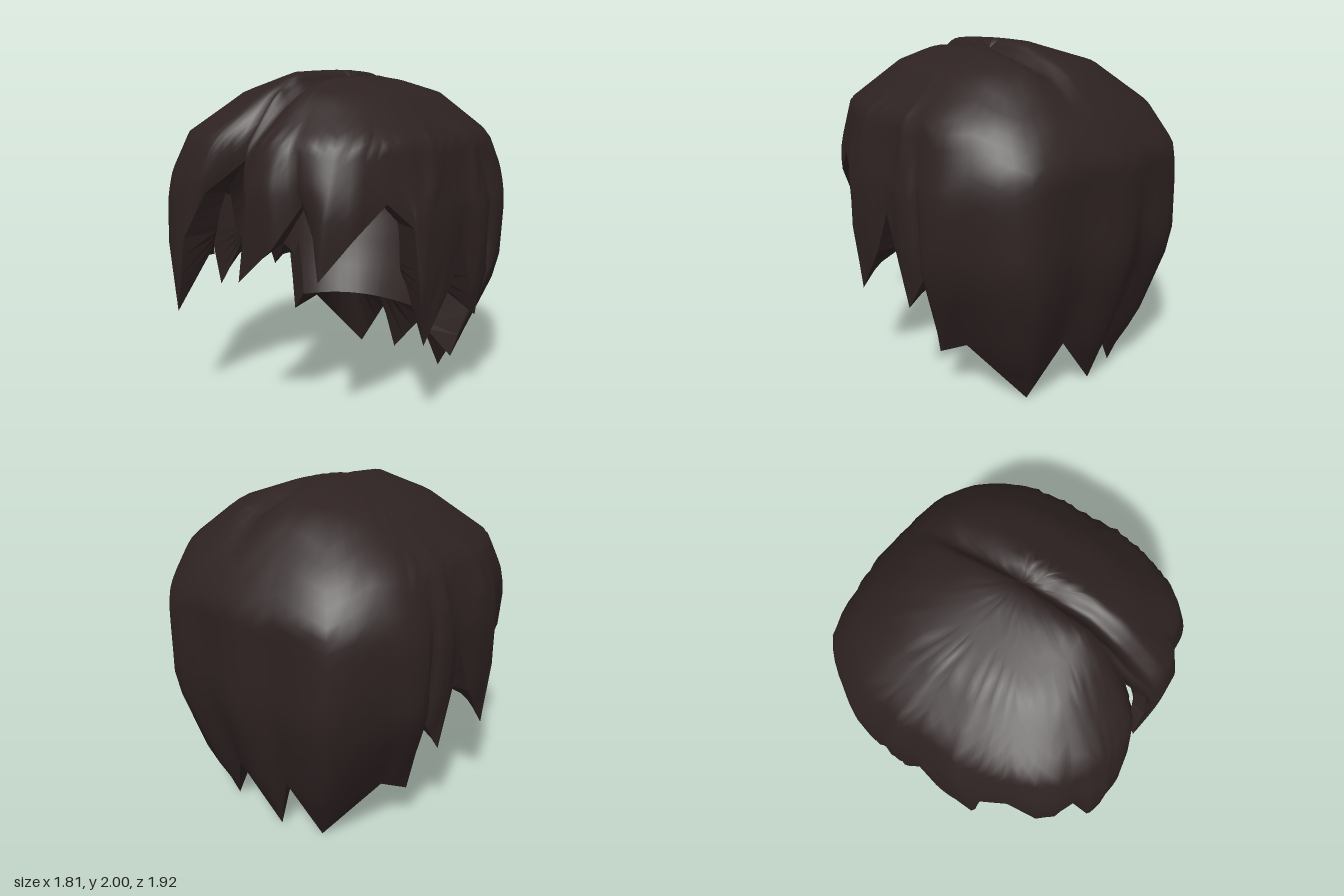
import * as THREE from 'three';

// Rings from crown down: [y, half width, front depth, back depth]
const OUTER = [
  [2.0, 1e-4, 1e-4, 1e-4], [1.975, 0.17, 0.41, 0.25], [1.87, 0.5, 0.6, 0.57],
  [1.64, 0.8, 0.87, 0.81], [1.43, 0.86, 0.94, 0.95], [1.25, 0.905, 0.96, 0.955],
  [0.85, 0.9, 0.97, 0.97], [0.33, 0.7, 0.9, 0.83], [0, 0.5, 0.85, 0.68],
];
const INNER = [
  [1.84, 1e-4, 1e-4, 1e-4], [1.82, 0.2, 0.3, 0.25], [1.72, 0.48, 0.55, 0.52],
  [1.5, 0.69, 0.74, 0.73], [1.2, 0.74, 0.8, 0.8], [1.0, 0.73, 0.8, 0.77],
  [0.7, 0.66, 0.75, 0.67], [0.42, 0.57, 0.65, 0.54],
];
const NAPE = 0.42; // lowest height of the inner skin

// Hem corners [x, y, z]: fringe left of the parting, side and nape locks, fringe right
const FRINGE_LEFT = [
  [0.07, 1.6, 0.68], [0.16, 1.32, 0.84], [0.15, 1.08, 0.88], [0.07, 0.87, 0.89],
  [0.35, 1.1, 0.9], [0.47, 1.33, 0.79], [0.56, 1.18, 0.81], [0.61, 0.96, 0.83],
  [0.74, 1.18, 0.7],
];
const SIDE = [
  [0.8, 1.34, 0.52], [0.86, 1.2, 0.37], [0.88, 0.9, 0.34], [0.87, 0.54, 0.28],
  [0.89, 0.85, 0.05], [0.88, 1.1, -0.05], [0.87, 0.59, -0.23], [0.83, 0.82, -0.35],
  [0.69, 0.27, -0.26], [0.62, 0.35, -0.42], [0.35, 0, -0.63], [0.19, 0.35, -0.76],
];
const FRINGE_RIGHT = [
  [-0.74, 1.04, 0.68], [-0.64, 0.82, 0.75], [-0.54, 1.03, 0.81], [-0.54, 1.0, 0.91],
  [-0.45, 0.6, 0.93], [-0.33, 1.07, 0.95], [-0.2, 1.33, 0.89],
];
const HEM = [
  ...FRINGE_LEFT, ...SIDE, [-0.09, 0, -0.7],
  ...SIDE.map(([x, y, z]) => [-x, y, z]).reverse(), ...FRINGE_RIGHT,
];
const SPLIT = 4, ROWS = 22;
const { lerp, smoothstep } = THREE.MathUtils;

function ring(rings, s) {
  const i = Math.min(Math.floor(s), rings.length - 2);
  return rings[i].map((v, k) => lerp(v, rings[i + 1][k], s - i));
}

function ringIndex(rings, y) {
  let i = 0;
  while (i < rings.length - 2 && rings[i + 1][0] > y) i++;
  return i + (rings[i][0] - y) / (rings[i][0] - rings[i + 1][0]);
}

// Radius in one direction: round at the crown, squarer lower down by the given amount
function radius(rings, a, s, square) {
  const [, w, front, back] = ring(rings, s);
  const n = lerp(2.1, square, Math.min(1, s / 4.5)), d = Math.cos(a) > 0 ? front : back;
  return (Math.abs(Math.sin(a) / w) ** n + Math.abs(Math.cos(a) / d) ** n) ** (-1 / n);
}

// One column per hem point; smoothed root angles let the locks sweep sideways
function makeColumns() {
  const cols = [];
  HEM.forEach((p, i) => {
    const q = HEM[(i + 1) % HEM.length];
    for (let k = 0; k < SPLIT; k++) {
      const [x, y, z] = p.map((v, c) => lerp(v, q[c], k / SPLIT));
      let a = Math.atan2(x, z);
      const last = cols.length ? cols[cols.length - 1].a : a;
      while (a < last - Math.PI) a += 2 * Math.PI;
      cols.push({ a, hem: [x, y, z], reach: Math.hypot(x, z) });
    }
  });
  const n = cols.length, span = 2 * SPLIT;
  cols.forEach((c, i) => {
    let angle = 0, height = 0;
    for (let d = -span; d <= span; d++) {
      const j = i + d, near = cols[(j + n) % n];
      angle += near.a + Math.floor(j / n) * 2 * Math.PI;
      height += near.hem[1];
    }
    c.root = angle / (2 * span + 1);
    c.innerY = Math.max(NAPE, c.hem[1], height / (2 * span + 1));
  });
  return cols;
}

// Outer column: follows the dome and ends exactly on the hem, with a parting groove
function outerColumn(c) {
  const end = ringIndex(OUTER, c.hem[1]);
  const k = c.reach / radius(OUTER, c.a, end, 3.3);
  return Array.from({ length: ROWS + 1 }, (_, j) => {
    const t = j / ROWS, s = end * t;
    const a = lerp(c.root, c.a, t ** 4), dome = radius(OUTER, a, s, 3.3);
    const d = Math.min(dome * lerp(1, k, t ** 3), Math.max(dome, c.reach));
    const x = Math.sin(a) * d + 0.1 * Math.max(0, 1 - s / 4) * (1 - t ** 4);
    const z = Math.cos(a) * d;
    const fade = (1 - t ** 3) * smoothstep(z, -0.85, -0.3);
    const groove = 0.08 * Math.exp(-(((x - 0.14) / 0.06) ** 2)) * fade;
    const lift = x < 0.08 ? 0.015 * fade * Math.max(0, 1 + x) : 0;
    return [x, ring(OUTER, s)[0] - groove + lift, z];
  });
}

// Inner column: a smooth head-shaped hollow, ending above the lock tips
function innerColumn(c) {
  const end = ringIndex(INNER, c.innerY);
  return Array.from({ length: ROWS + 1 }, (_, j) => {
    const s = end * j / ROWS, a = lerp(c.root, c.a, (j / ROWS) ** 4);
    const d = Math.min(radius(INNER, a, s, 2.3), lerp(2, c.reach, (j / ROWS) ** 4));
    return [Math.sin(a) * d, ring(INNER, s)[0], Math.cos(a) * d];
  });
}

// Closed skin through neighbouring columns of points
function skin(columns, inward, flat) {
  const w = columns[0].length, n = columns.length, idx = [];
  for (let i = 0; i < n; i++) {
    for (let j = 0; j < w - 1; j++) {
      const p = i * w + j, q = ((i + 1) % n) * w + j;
      if (inward) idx.push(p, q, p + 1, q, q + 1, p + 1);
      else idx.push(p, p + 1, q, q, p + 1, q + 1);
    }
  }
  let g = new THREE.BufferGeometry();
  g.setAttribute('position', new THREE.Float32BufferAttribute(columns.flat(2), 3));
  g.setIndex(idx);
  if (flat) g = g.toNonIndexed();
  g.computeVertexNormals();
  return g;
}

export function createModel() {
  const group = new THREE.Group();
  group.name = 'hair';
  const darkBrown = new THREE.MeshStandardMaterial({ color: 0x2e2222 });
  darkBrown.name = 'dark brown hair';
  const cols = makeColumns(), inside = cols.map(innerColumn);
  // undersides close each lock from the hollow down to its tip
  const undersides = cols.map((c, i) => [inside[i][ROWS], c.hem]);
  const parts = {
    outerHair: skin(cols.map(outerColumn), false, false),
    innerHair: skin(inside, true, false),
    lockUndersides: skin(undersides, true, true),
  };
  for (const [name, geometry] of Object.entries(parts)) {
    const mesh = new THREE.Mesh(geometry, darkBrown);
    mesh.name = name;
    group.add(mesh);
  }
  return group;
}
